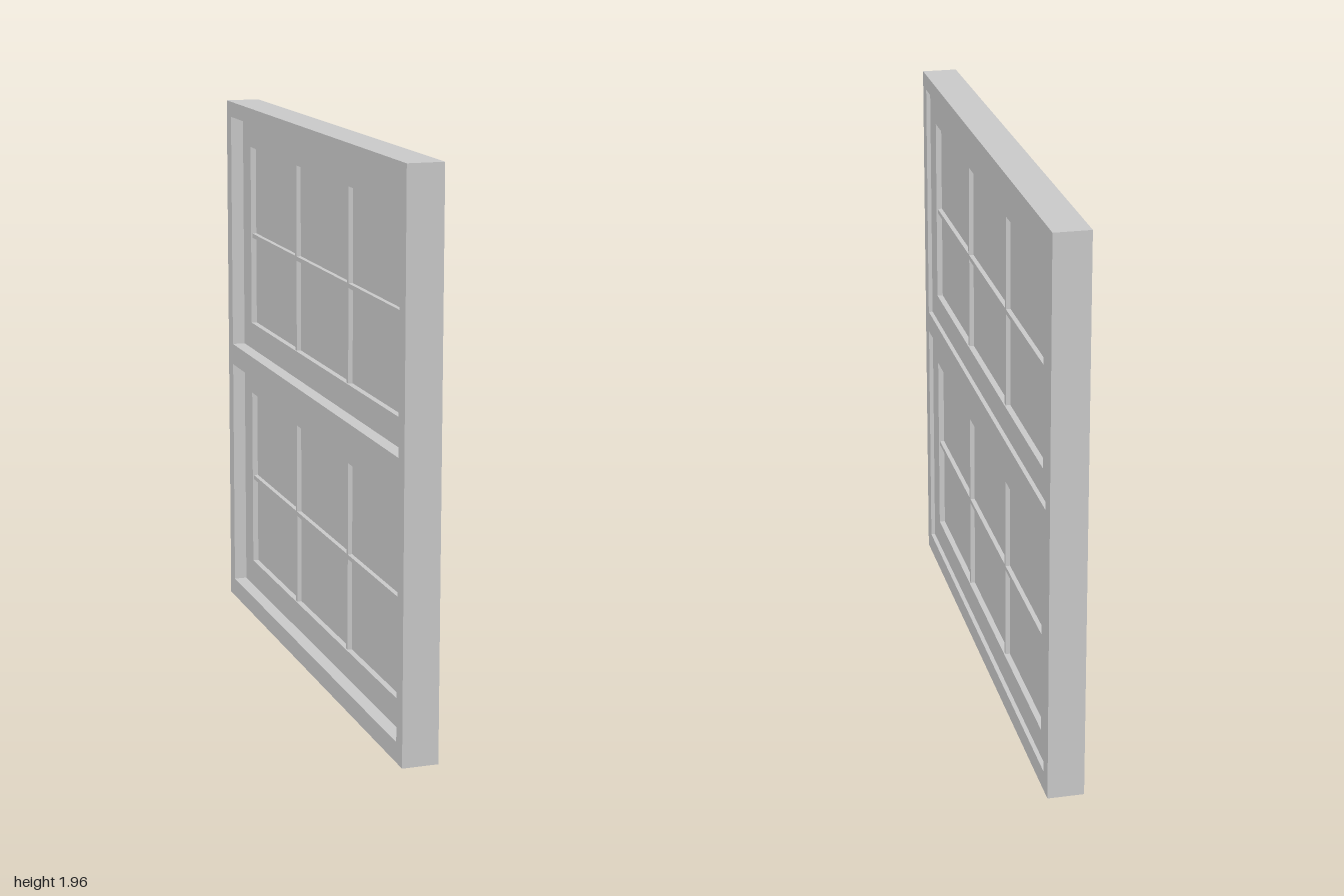
import * as THREE from 'three';

const material = new THREE.MeshStandardMaterial({ color: 0xcccccc });

// Adds a named mesh to its parent
function add(parent, name, geometry, x = 0, y = 0, z = 0) {
  const mesh = new THREE.Mesh(geometry, material);
  mesh.name = name;
  mesh.position.set(x, y, z);
  parent.add(mesh);
  return mesh;
}

// Rectangle symmetric about z = 0, from y0 to y1
function rect(PathType, half, y0, y1) {
  return new PathType([[-half, y0], [half, y0], [half, y1], [-half, y1]]
    .map(([a, b]) => new THREE.Vector2(a, b)));
}

// Rectangular surround with openings, running from x0 to x1
function surround(half, y0, y1, openings, x0, x1) {
  const shape = rect(THREE.Shape, half, y0, y1);
  for (const [h, a, b] of openings) shape.holes.push(rect(THREE.Path, h, a, b));
  const geometry = new THREE.ExtrudeGeometry(shape, { depth: x1 - x0, bevelEnabled: false });
  return geometry.rotateY(Math.PI / 2).translate(x0, 0, 0);
}

// One sash: stiles and rails, glass, and glazing bars
function makeSash(name, base) {
  const sash = new THREE.Group();
  sash.name = name;
  const x0 = -0.0155, x1 = 0.0475, mid = (x0 + x1) / 2;
  const low = 0.1, high = 0.775, half = 0.843, centre = (low + high) / 2;
  add(sash, 'sashFrame', surround(0.943, 0, 0.87, [[half, low, high]], x0, x1));
  add(sash, 'glass', new THREE.BoxGeometry(0.022, high - low, half * 2), mid, centre, 0);
  add(sash, 'horizontalBar', new THREE.BoxGeometry(0.054, 0.016, half * 2), mid, centre, 0);
  for (const side of [-1, 1]) {
    add(sash, 'verticalBar', new THREE.BoxGeometry(0.054, high - low, 0.016), mid, centre, side * 0.29);
  }
  sash.position.y = base;
  return sash;
}

export function createModel() {
  const model = new THREE.Group();
  model.name = 'window';
  // Outer frame; the upper opening leaves a narrow gap above its sash
  add(model, 'outerFrame', surround(1, 0, 1.957,
    [[0.943, 0.07, 0.94], [0.943, 1.02, 1.9]], -0.0625, 0.0625));
  model.add(makeSash('lowerSash', 0.07), makeSash('upperSash', 1.02));
  return model;
}
